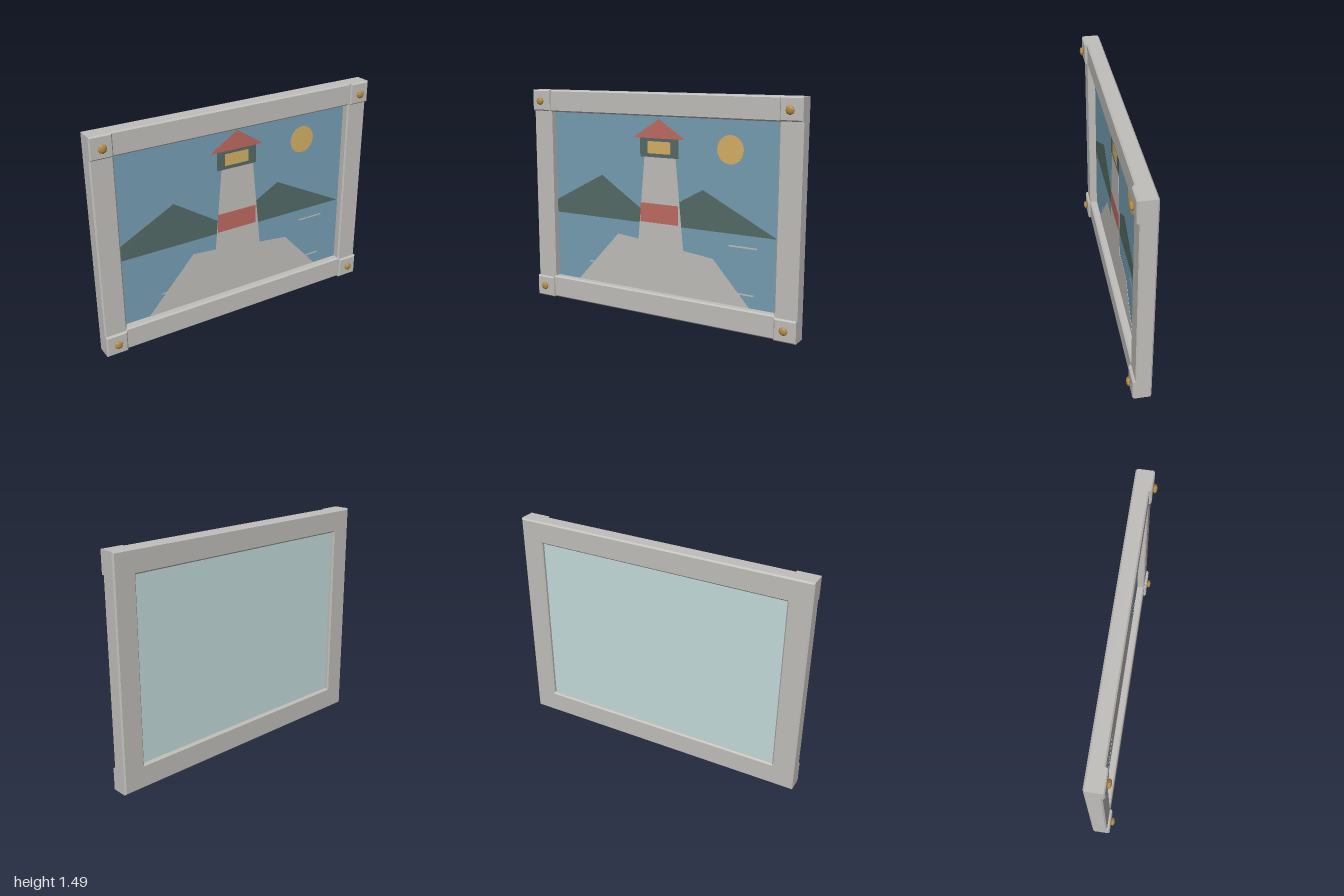
import * as THREE from 'three';

export function createModel() {
  const model = new THREE.Group();
  const paint = (name, color) => {
    const m = new THREE.MeshStandardMaterial({ color });
    m.name = name;
    return m;
  };
  const stone = paint('pale grey', 0xc1bfbb);
  const sky = paint('sea blue', 0x769eb3);
  const green = paint('dark green', 0x546b66);
  const red = paint('brick red', 0xbd6b62);
  const yellow = paint('warm yellow', 0xd5b065);
  const brass = paint('brass', 0xb38c45);
  const backing = paint('pale teal', 0xc3dcda);

  const H = 1.486, MID = H / 2;
  const add = (name, geometry, material, x = 0, y = 0, z = 0, parent = model) => {
    const mesh = new THREE.Mesh(geometry, material);
    mesh.name = name;
    mesh.position.set(x, y, z);
    parent.add(mesh);
    return mesh;
  };
  const polygon = pts => new THREE.Shape(pts.map(p => new THREE.Vector2(p[0], p[1])));
  const rect = (x0, y0, x1, y1) => [[x0, y0], [x1, y0], [x1, y1], [x0, y1]];

  // Extrusion with chamfered edges that keeps the drawn outline, spanning z0 to z1
  const chamfered = (shape, z0, z1, b) => new THREE.ExtrudeGeometry(shape, {
    depth: z1 - z0 - 2 * b, bevelEnabled: true, bevelThickness: b,
    bevelSize: b, bevelOffset: -b, bevelSegments: 1,
  }).translate(0, 0, z0 + b);

  // Frame with its opening
  const outline = polygon(rect(-1, 0, 1, H));
  outline.holes.push(polygon(rect(-0.85, 0.155, 0.85, H - 0.15)));
  add('frame', chamfered(outline, -0.073, 0.03, 0.009), stone);

  // Raised corner blocks, each with a faceted stud
  const block = chamfered(polygon(rect(-0.0725, -0.0725, 0.0725, 0.0725)), -0.02, 0.047, 0.008);
  const stud = new THREE.SphereGeometry(0.029, 8, 6).rotateX(Math.PI / 2).toNonIndexed();
  stud.scale(1, 1, 0.5);
  stud.computeVertexNormals();
  for (const x of [-1, 1]) for (const y of [-1, 1]) {
    add('cornerBlock', block, stone, x * 0.9275, MID + y * (MID - 0.0725));
    add('cornerStud', stud, brass, x * 0.925, MID + y * (MID - 0.077), 0.059);
  }

  // Backing board and picture board inside the opening
  add('backingBoard', new THREE.BoxGeometry(1.74, 1.23, 0.012), backing, 0, MID, -0.042);
  add('pictureBoard', new THREE.BoxGeometry(1.74, 1.23, 0.015), sky, 0, MID, -0.0285);

  // Flat picture pieces, layered from back to front
  const picture = new THREE.Group();
  picture.name = 'picture';
  model.add(picture);
  const layer = (name, pts, material, level) =>
    add(name, new THREE.ExtrudeGeometry(polygon(pts), { depth: 0.0015, bevelEnabled: false }),
      material, 0, 0, -0.0215 + level * 0.0015, picture);

  layer('leftHill', [[-0.86, 0.62], [0, 0.62], [-0.46, 0.917], [-0.86, 0.708]], green, 0);
  layer('rightHill', [[0, 0.62], [0.84, 0.62], [0.322, 0.88], [0, 0.7]], green, 0);
  for (const [x0, x1, y] of [[0.51, 0.705, 0.542], [-0.575, -0.4, 0.295], [0.5, 0.69, 0.238]]) {
    layer('wave', rect(x0, y - 0.005, x1, y + 0.005), stone, 0);
  }
  layer('rock', [[-0.67, 0.15], [0.665, 0.15], [0.4, 0.44], [0.18, 0.465],
    [-0.16, 0.505], [-0.33, 0.52]], stone, 1);
  layer('tower', [[-0.168, 0.45], [0.185, 0.45], [0.122, 1.08], [-0.112, 1.08]], stone, 2);
  layer('towerBand', rect(-0.145, 0.628, 0.145, 0.757), red, 3);
  layer('lampRoom', rect(-0.145, 1.066, 0.145, 1.192), green, 3);
  layer('lampWindow', rect(-0.087, 1.09, 0.085, 1.17), yellow, 4);
  layer('roof', [[-0.198, 1.19], [0.195, 1.19], [0, 1.317]], red, 4);
  add('sun', new THREE.CylinderGeometry(0.091, 0.091, 0.002, 40).rotateX(Math.PI / 2),
    yellow, 0.512, 1.147, -0.0205, picture);

  return model;
}
